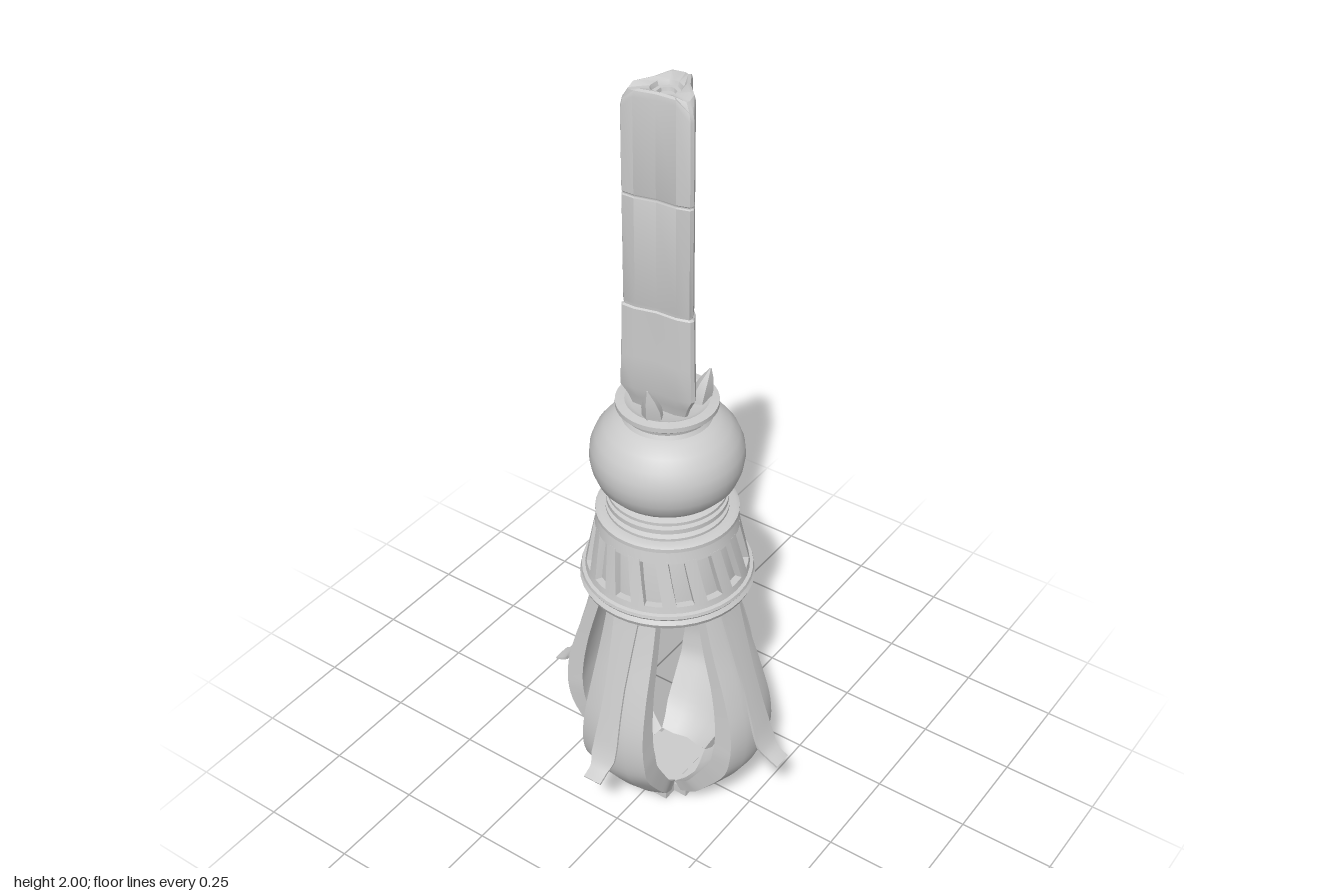
import * as THREE from 'three';
import { toCreasedNormals } from 'three/addons/utils/BufferGeometryUtils.js';

const grey = new THREE.MeshStandardMaterial({ color: 0xcccccc });
const V = (x, y, z) => new THREE.Vector3(x, y, z);

function part(name, geometry, parent) {
  const mesh = new THREE.Mesh(geometry, grey);
  mesh.name = name;
  parent.add(mesh);
  return mesh;
}

// Skin a row of equal-length closed rings and cap both ends; faces always point outwards.
function loft(rings, crease = 0.6) {
  const n = rings[0].length, m = rings.length;
  const pts = rings.flat();
  let index = [];
  for (let i = 0; i < m - 1; i++)
    for (let j = 0; j < n; j++) {
      const a = i * n + j, b = i * n + (j + 1) % n;
      index.push(a, b, b + n, a, b + n, a + n);
    }
  [0, m - 1].forEach((r) => {
    const c = pts.length;
    pts.push(rings[r].reduce((s, p) => s.add(p), V(0, 0, 0)).divideScalar(n));
    for (let j = 0; j < n; j++) {
      const a = r * n + j, b = r * n + (j + 1) % n;
      index.push(...(r ? [a, b, c] : [b, a, c]));
    }
  });
  let volume = 0;
  for (let i = 0; i < index.length; i += 3)
    volume += pts[index[i]].dot(V(0, 0, 0).crossVectors(pts[index[i + 1]], pts[index[i + 2]]));
  if (volume < 0) index.reverse();
  const g = new THREE.BufferGeometry().setFromPoints(pts);
  g.setIndex(index);
  return toCreasedNormals(g, crease);
}

// Revolve [radius, height] points listed from bottom to top along the outside.
const lathe = (profile, segments = 40, crease = 0.6) => toCreasedNormals(
  new THREE.LatheGeometry(profile.map(([r, y]) => new THREE.Vector2(r, y)), segments), crease);

// Sweep a bowed plank along a curve of [radius, height] points in the x-y plane.
function plank(points, steps, width, thickness, bow) {
  const curve = new THREE.CatmullRomCurve3(points.map(([r, y]) => V(r, y, 0)));
  const rings = [];
  for (let i = 0; i <= steps; i++) {
    const t = i / steps, p = curve.getPoint(t), d = curve.getTangent(t);
    const normal = V(-d.y, d.x, 0);
    const at = (u, depth) => {
      const q = p.clone().addScaledVector(normal, -depth - bow * u * u);
      return V(q.x, Math.max(0, q.y), u * width(t));
    };
    const us = [-1, -0.5, 0, 0.5, 1];
    rings.push([...us.map((u) => at(u, 0)), ...us.reverse().map((u) => at(u, thickness(t)))]);
  }
  return loft(rings);
}

// Linear interpolation through evenly spaced values.
const ramp = (values) => (t) => {
  const s = Math.min(t, 0.9999) * (values.length - 1), i = Math.floor(s);
  return THREE.MathUtils.lerp(values[i], values[i + 1], s - i);
};

export function createModel() {
  const model = new THREE.Group();
  const body = new THREE.Group();
  body.name = 'body';
  body.position.set(-0.015, 0, -0.003);
  model.add(body);

  // Round bulb with its lower rings and upper flange
  part('bulb', lathe([
    [0, 0.87], [0.15, 0.87], [0.15, 0.905], [0.138, 0.91], [0.148, 0.918], [0.148, 0.93],
    [0.132, 0.934], [0.145, 0.94], [0.145, 0.948], [0.128, 0.953], [0.15, 0.97], [0.17, 0.992],
    [0.181, 1.02], [0.186, 1.05], [0.183, 1.08], [0.171, 1.11], [0.15, 1.137], [0.125, 1.155],
    [0.108, 1.162], [0.103, 1.172], [0.105, 1.18], [0.122, 1.193], [0.122, 1.205], [0.1, 1.208],
    [0.085, 1.2], [0, 1.2],
  ], 48), body);

  // Hollow slotted collar: bands, recessed inner wall and slanted bars
  const collar = new THREE.Group();
  collar.name = 'collar';
  body.add(collar);
  const R = (y) => 0.205 - (y - 0.71) * 0.2;
  part('collarTopBand', lathe([
    [R(0.85) - 0.02, 0.85], [R(0.85), 0.85], [R(0.88), 0.88], [0.175, 0.883],
    [0.175, 0.893], [0.166, 0.898], [0.14, 0.898]]), collar);
  part('collarRim', lathe([
    [0.175, 0.735], [0.18, 0.69], [0.2, 0.678], [0.212, 0.68], [0.217, 0.692], [0.21, 0.702],
    [0.214, 0.708], [0.212, 0.716], [R(0.718), 0.718], [R(0.735), 0.735], [0.175, 0.735]]), collar);
  part('collarInnerWall', lathe([
    [0, 0.865], [0.135, 0.865], [0.178, 0.7], [0.182, 0.7], [R(0.73) - 0.018, 0.73],
    [R(0.86) - 0.018, 0.86]]), collar);
  const barCount = 16;
  for (let k = 0; k < barCount; k++) {
    const rings = [0.73, 0.79, 0.855].map((y) => {
      const mid = (k + 0.5) * Math.PI * 2 / barCount - (y - 0.79) * 0.9;
      const at = (da, inset) => V((R(y) - inset) * Math.sin(mid + da), y, (R(y) - inset) * Math.cos(mid + da));
      return [at(-0.085, 0), at(0, 0), at(0.085, 0), at(0.085, 0.022), at(0, 0.022), at(-0.085, 0.022)];
    });
    part('collarBar', loft(rings), collar);
  }

  // Rounded plug hanging inside the collar
  part('plug', lathe([
    [0, 0.543], [0.018, 0.545], [0.02, 0.555], [0.045, 0.562], [0.063, 0.58], [0.07, 0.605],
    [0.07, 0.7], [0.062, 0.71], [0.062, 0.87]], 28), body);

  // Four curved cage arms, each carrying a thin strip that flicks outwards
  const reach = [1.045, 1.035, 0.962, 1.02];
  const armGeometry = plank([
    [0.158, 0.74], [0.173, 0.67], [0.205, 0.55], [0.243, 0.43], [0.267, 0.33], [0.27, 0.25],
    [0.255, 0.18], [0.205, 0.105], [0.15, 0.04], [0.1, 0]], 30,
    ramp([0.066, 0.073, 0.081, 0.09, 0.097, 0.097, 0.091, 0.07]),
    ramp([0.02, 0.024, 0.032, 0.045, 0.05, 0.048, 0.036, 0.03]), 0.02);
  const stripGeometry = plank([
    [0.168, 0.73], [0.18, 0.67], [0.213, 0.55], [0.25, 0.42], [0.274, 0.335],
    [0.293, 0.275], [0.312, 0.242], [0.345, 0.224]], 24,
    ramp([0.037, 0.037, 0.032, 0.028, 0.03, 0.034, 0.035, 0.025, 0.025]), () => 0.006, 0.001);
  reach.forEach((scale, k) => {
    const arm = new THREE.Group();
    arm.name = 'cageArm' + k;
    arm.rotation.y = -k * Math.PI / 2;
    arm.scale.x = scale;
    part('armBlade', armGeometry, arm);
    part('armStrip', stripGeometry, arm);
    body.add(arm);
  });

  // Crossed foot joining the arms
  part('footAcross', new THREE.BoxGeometry(0.21, 0.028, 0.136), body).position.y = 0.014;
  part('footAlong', new THREE.BoxGeometry(0.136, 0.027, 0.21), body).position.y = 0.0135;

  // Three-sided shaft: rings of blunt triangles with two seams
  const turn = THREE.MathUtils.degToRad(-8);
  const triangle = (size, y, dip = 0) => {
    const ring = [];
    for (let c = 0; c < 3; c++) {
      const a = turn + c * Math.PI * 2 / 3;
      for (const [da, r, drop] of [[-0.32, 0.077, 0], [-0.05, 0.098, 1], [0.05, 0.098, 1], [0.32, 0.077, 0], [Math.PI / 3, 0.052, 0]])
        ring.push(V(Math.cos(a + da) * r * size, y - dip * drop, Math.sin(a + da) * r * size));
    }
    return ring;
  };
  const disc = (r, y) => triangle(1, y).map((p) => {
    const s = r / Math.hypot(p.x, p.z);
    return V(p.x * s, y, p.z * s);
  });
  part('shaft', loft([
    triangle(0.8, 1.195), triangle(0.92, 1.225), triangle(1.1, 1.255), triangle(1.07, 1.34),
    triangle(1.04, 1.468), triangle(0.98, 1.472), triangle(0.98, 1.477), triangle(1.0, 1.481),
    triangle(1.0, 1.746), triangle(0.97, 1.749), triangle(0.97, 1.752), triangle(1.0, 1.755),
    triangle(1.0, 1.985, 0.035), triangle(0.95, 1.997, 0.025), triangle(0.82, 2.0, 0.008),
    disc(0.036, 1.992), disc(0.032, 1.982), disc(0.022, 1.982), disc(0.02, 1.974)], 0.5), body);

  // Small fangs around the foot of the shaft, one per face
  for (let c = 0; c < 3; c++) {
    const a = turn + Math.PI / 3 + c * Math.PI * 2 / 3;
    const rings = [[0.078, 0.026, 0.024, 1.195], [0.084, 0.024, 0.023, 1.225], [0.092, 0.015, 0.015, 1.255], [0.1, 0.002, 0.002, 1.285]]
      .map(([r, w, d, y]) => [V(r + d, y, 0), V(r, y, w), V(r - d, y, w * 0.7), V(r - d, y, -w * 0.7), V(r, y, -w)]);
    part('fang', loft(rings), body).rotation.y = -a;
  }
  return model;
}
